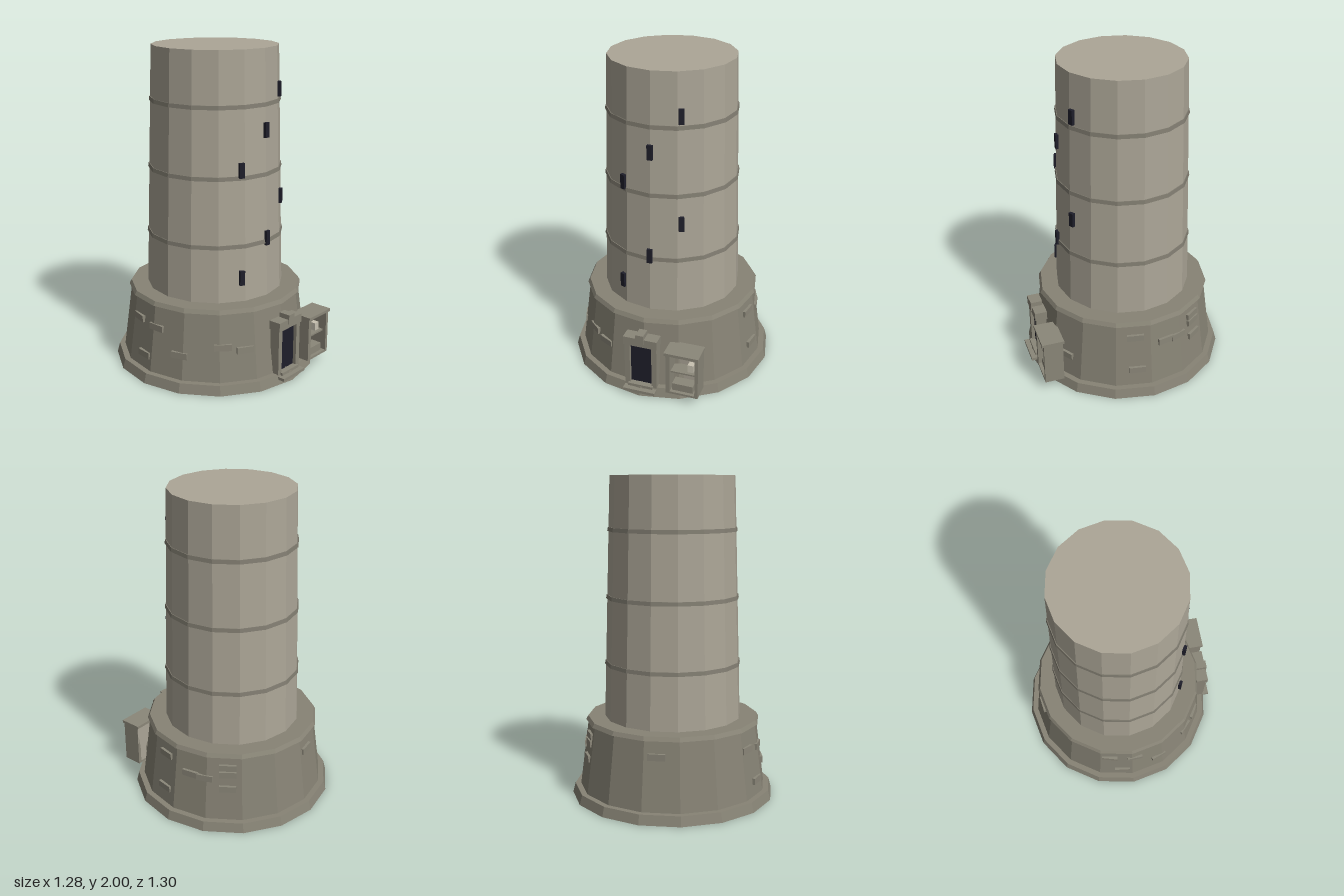
import * as THREE from 'three';

const mat = (name, color) => {
  const m = new THREE.MeshStandardMaterial({ color });
  m.name = name;
  return m;
};

export function createModel() {
  const root = new THREE.Group();
  root.name = 'tower';
  const paleStone = mat('paleStone', 0xaca697);
  const baseStone = mat('baseStone', 0x878375);
  const trimStone = mat('trimStone', 0x8b8779);
  const bandStone = mat('bandStone', 0x7f7b6f);
  const dark = mat('darkOpening', 0x1e1e2a);
  const cream = mat('cream', 0xc8c2b2);

  // Sixteen-sided shaft pieces with faceted normals
  const SIDES = 16;
  const body = new THREE.Group();
  body.name = 'stonework';
  body.position.z = -0.01;
  root.add(body);
  const ring = (name, rBottom, rTop, y0, y1, material) => {
    const geo = new THREE.CylinderGeometry(rTop, rBottom, y1 - y0, SIDES).toNonIndexed();
    geo.computeVertexNormals();
    const mesh = new THREE.Mesh(geo, material);
    mesh.name = name;
    mesh.position.y = (y0 + y1) / 2;
    body.add(mesh);
  };
  const shaftR = (y) => 0.43 - (y - 0.5) * 0.03;
  const drumR = (y) => 0.59 - (y - 0.06) * 0.131;

  ring('plinth', 0.642, 0.626, 0, 0.06, baseStone);
  ring('baseDrum', 0.59, 0.535, 0.06, 0.48, baseStone);
  ring('baseLip', 0.551, 0.537, 0.48, 0.505, baseStone);
  ring('shaft', 0.43, 0.385, 0.505, 2, paleStone);
  for (const y of [0.85, 1.263, 1.677]) {
    ring('shaftBand', shaftR(y) + 0.008, shaftR(y) + 0.004, y - 0.012, y + 0.012, bandStone);
  }

  // Block facing outward at an angle around the tower
  const radialBox = (name, angle, y, radius, w, h, d, material, tilt = 0) => {
    const mesh = new THREE.Mesh(new THREE.BoxGeometry(w, h, d), material);
    mesh.name = name;
    mesh.rotation.set(tilt, angle, 0, 'YXZ');
    mesh.position.set(Math.sin(angle) * radius, y, Math.cos(angle) * radius);
    body.add(mesh);
  };

  // Slit windows winding up the front
  [[-0.45, 0.655], [0, 0.872], [0.45, 1.09], [-0.45, 1.31], [0, 1.528], [0.45, 1.745]].forEach(
    ([a, y]) => radialBox('slitWindow', a, y, shaftR(y), 0.032, 0.09, 0.03, dark));

  // Projecting stones on the drum: angle in degrees, height
  const stones = [
    [-29, 0.25], [-43, 0.275], [-70, 0.21], [-88, 0.345], [-97, 0.15], [-106, 0.36],
    [33, 0.2], [80, 0.395], [81, 0.17], [101, 0.335], [111, 0.33],
    [126, 0.41], [126, 0.365], [126, 0.27], [188, 0.385],
  ];
  for (const [deg, y] of stones) {
    radialBox('projectingStone', THREE.MathUtils.degToRad(deg), y, drumR(y) * 0.985 - 0.006,
      0.105, 0.04, 0.036, trimStone);
  }

  // Box given by its limits on each axis
  const box = (parent, name, x0, x1, y0, y1, z0, z1, material) => {
    const mesh = new THREE.Mesh(new THREE.BoxGeometry(x1 - x0, y1 - y0, z1 - z0), material);
    mesh.name = name;
    mesh.position.set((x0 + x1) / 2, (y0 + y1) / 2, (z0 + z1) / 2);
    parent.add(mesh);
  };

  // Doorway
  const door = new THREE.Group();
  door.name = 'doorway';
  root.add(door);
  box(door, 'doorPanel', -0.07, 0.07, 0.06, 0.348, 0.525, 0.578, dark);
  for (const s of [-1, 1]) {
    box(door, 'doorPost', s * 0.0865 - 0.0165, s * 0.0865 + 0.0165, 0.055, 0.35, 0.535, 0.6, trimStone);
  }
  box(door, 'lintel', -0.108, 0.108, 0.345, 0.4, 0.53, 0.608, trimStone);
  box(door, 'keystone', -0.025, 0.025, 0.37, 0.43, 0.54, 0.614, trimStone);
  box(door, 'threshold', -0.08, 0.08, 0.05, 0.068, 0.56, 0.615, trimStone);
  box(door, 'doorStep', -0.103, 0.103, 0.03, 0.048, 0.55, 0.645, trimStone);

  // Open cabinet beside the door
  const cabinet = new THREE.Group();
  cabinet.name = 'cabinet';
  root.add(cabinet);
  box(cabinet, 'cabinetBack', 0.17, 0.37, 0.06, 0.337, 0.5, 0.51, paleStone);
  box(cabinet, 'cabinetSide', 0.168, 0.194, 0.06, 0.337, 0.5, 0.622, trimStone);
  box(cabinet, 'cabinetSide', 0.352, 0.373, 0.06, 0.337, 0.5, 0.622, trimStone);
  box(cabinet, 'cabinetFloor', 0.168, 0.373, 0.06, 0.074, 0.5, 0.622, trimStone);
  box(cabinet, 'cabinetRoof', 0.16, 0.377, 0.337, 0.355, 0.492, 0.633, trimStone);
  box(cabinet, 'shelf', 0.194, 0.352, 0.202, 0.212, 0.51, 0.6, trimStone);
  box(cabinet, 'storedBlock', 0.203, 0.335, 0.074, 0.122, 0.53, 0.6, trimStone);
  box(cabinet, 'shelfItem', 0.295, 0.332, 0.212, 0.262, 0.54, 0.58, cream);

  return root;
}
